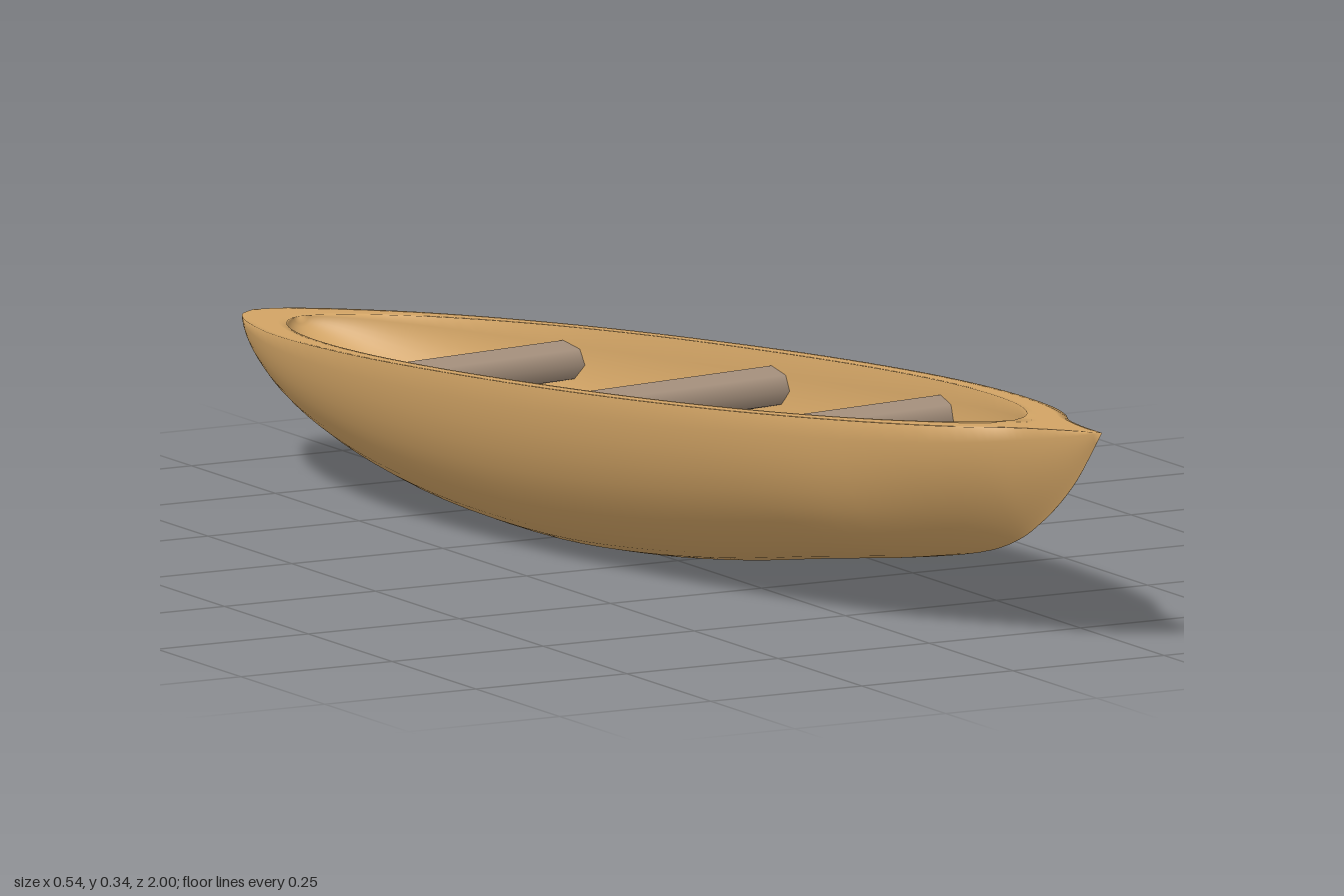
import * as THREE from 'three';
import { mergeVertices } from 'three/addons/utils/BufferGeometryUtils.js';

const YAW = 0.147;
const rimY = (s) => 0.28 + 0.057 * s;

// Hull stations: position along the boat, half width at the rim, keel height
const STATIONS = [
  [-1.01, 0, 0.2224], [-0.99, 0.034, 0.2], [-0.95, 0.065, 0.165], [-0.9, 0.092, 0.132],
  [-0.8, 0.135, 0.09], [-0.65, 0.176, 0.048], [-0.45, 0.21, 0.015], [-0.2, 0.23, 0.001],
  [0, 0.235, 0.01], [0.2, 0.228, 0.032], [0.4, 0.207, 0.064], [0.6, 0.165, 0.095],
  [0.75, 0.115, 0.127], [0.82, 0.08, 0.155], [0.86, 0.054, 0.18], [0.9, 0.036, 0.21],
  [0.95, 0.018, 0.258], [1.01, 0, 0.3376],
];

function hullGeometry() {
  const curve = new THREE.CatmullRomCurve3(STATIONS.map((p) => new THREE.Vector3(...p)));
  const rows = 68, arc = 24;
  const pos = [], index = [];
  let ring = 0;
  for (let i = 0; i <= rows; i++) {
    const { x: s, y: w, z: keel } = curve.getPoint(i / rows);
    const top = rimY(s);
    const pinch = 1 + 1.3 * THREE.MathUtils.smoothstep(s, 0.55, 0.9);
    const loop = [];

    // outer skin, pinched into a thin stem at the bow
    for (let j = 0; j <= arc; j++) {
      const a = (j / arc) * Math.PI, c = Math.cos(a);
      loop.push([Math.sign(c) * Math.abs(c) ** pinch * w, top - (top - keel) * Math.sin(a), s]);
    }

    // inner hollow, shorter than the outer skin
    const t = THREE.MathUtils.clamp(s / 1.01, -1, 1);
    const si = -0.05 + 0.85 * t;
    const wi = 0.21 * Math.max(0, 1 - Math.abs(t) ** 2.3) ** 0.6;
    const floor = 0.02 + keelAt(si);
    const depth = (rimY(si) - floor) * Math.sqrt(Math.max(0, 1 - t ** 4));
    const inner = [];
    for (let j = 0; j <= arc; j++) {
      const a = Math.PI * (1 - j / arc);
      inner.push([wi * Math.cos(a), rimY(si) - depth * Math.sin(a), si]);
    }

    // flat rim between the two, then back to the start on the other side
    const rim = (p, q) => [0.2, 0.8].map((k) => p.map((v, n) => v + (q[n] - v) * k));
    loop.push(...rim(loop[arc], inner[0]), ...inner, ...rim(inner[arc], loop[0]));
    ring = loop.length;
    pos.push(...loop.flat());
  }
  for (let i = 0; i < rows; i++) {
    for (let j = 0; j < ring; j++) {
      const a = i * ring + j, b = i * ring + ((j + 1) % ring);
      index.push(a, a + ring, b, b, a + ring, b + ring);
    }
  }
  let g = new THREE.BufferGeometry();
  g.setAttribute('position', new THREE.Float32BufferAttribute(pos, 3));
  g.setIndex(index);
  g = mergeVertices(g, 1e-4);
  g.computeVertexNormals();
  return g;
}

// Keel height at any point along the boat
function keelAt(s) {
  const n = Math.max(1, STATIONS.findIndex((p) => p[0] >= s));
  const [a, b] = [STATIONS[n - 1], STATIONS[n]];
  return a[2] + ((b[2] - a[2]) * (s - a[0])) / (b[0] - a[0]);
}

export function createModel() {
  const wood = new THREE.MeshStandardMaterial({ color: 0xd2a465 });
  wood.name = 'hullWood';
  const plank = new THREE.MeshStandardMaterial({ color: 0xa48f7c });
  plank.name = 'benchWood';

  const model = new THREE.Group();
  model.name = 'rowingBoat';
  const boat = new THREE.Group();
  boat.name = 'boat';
  boat.rotation.y = YAW;
  model.add(boat);

  const hull = new THREE.Mesh(hullGeometry(), wood);
  hull.name = 'hull';
  boat.add(hull);

  // Three rounded benches: position along the boat, length
  [[-0.505, 0.37], [-0.05, 0.42], [0.39, 0.365]].forEach(([s, length], i) => {
    const g = new THREE.CylinderGeometry(1, 1, length, 8);
    g.rotateZ(Math.PI / 2);
    g.scale(1, 0.03, 0.049);
    const bench = new THREE.Mesh(g, plank);
    bench.name = 'bench' + (i + 1);
    bench.position.set(0, rimY(s) - 0.05, s);
    boat.add(bench);
  });
  return model;
}
